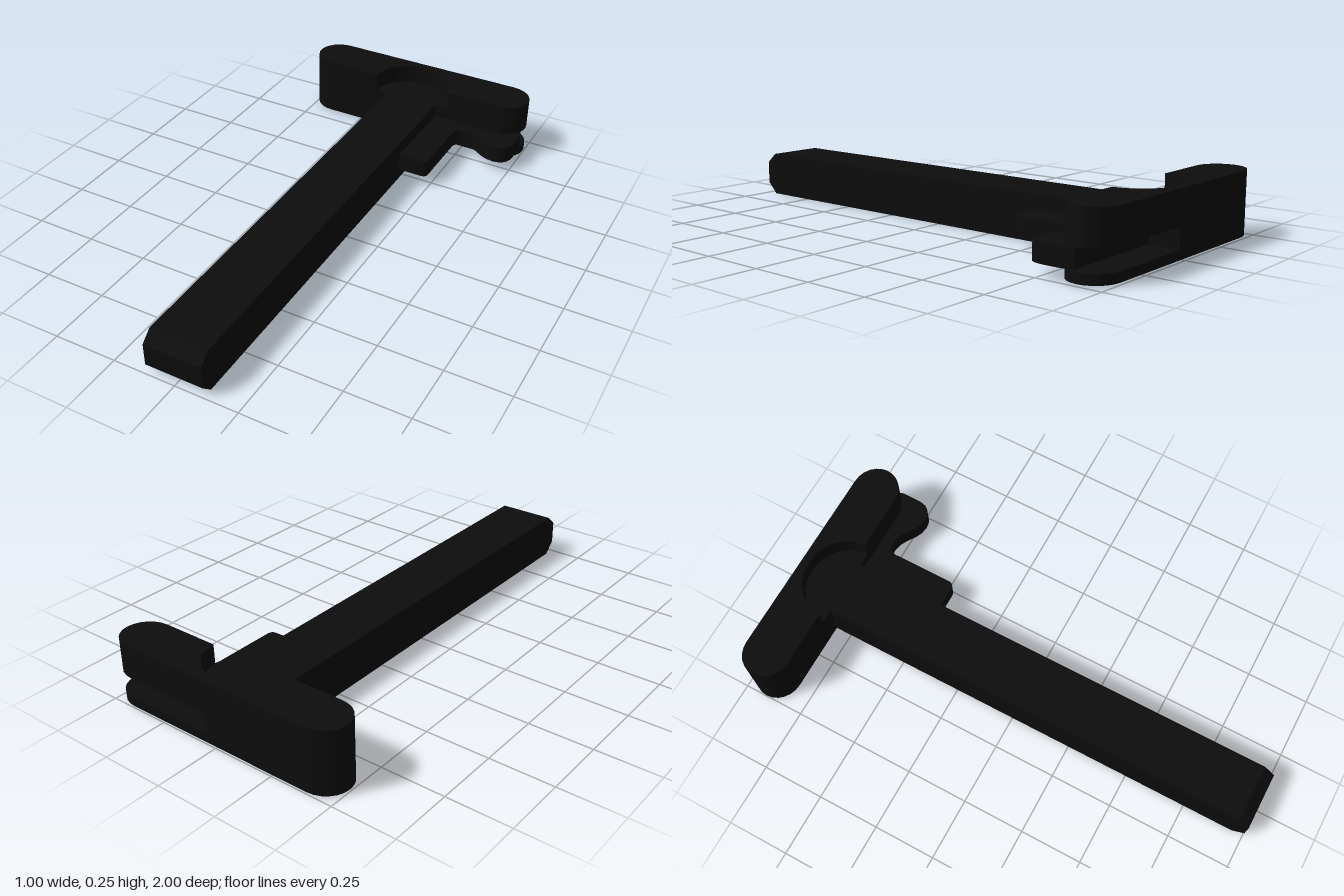
import * as THREE from 'three';

const black = new THREE.MeshStandardMaterial({ color: 0x0d0d0d });
black.name = 'matteBlack';

// Extrude a plan outline, drawn as (x, -z), from height y0 up to y1.
function slab(name, shape, y0, y1) {
  const geo = new THREE.ExtrudeGeometry(shape, { depth: y1 - y0, bevelEnabled: false, curveSegments: 6 });
  geo.rotateX(-Math.PI / 2);
  const mesh = new THREE.Mesh(geo, black);
  mesh.name = name;
  mesh.position.y = y0;
  return mesh;
}

// Crossbar outline with rounded ends; optional cut-off end and scooped front.
function barOutline({ cutX = null, scoop = false } = {}) {
  const front = 0.815, back = 1, mid = (front + back) / 2, rz = mid - front;
  const s = new THREE.Shape();
  s.moveTo(-0.4, front);
  if (scoop) {
    s.lineTo(-0.17, front);
    s.absellipse(0, front, 0.17, 0.155, Math.PI, 0, true);
  }
  if (cutX !== null) {
    s.lineTo(cutX, front);
    s.lineTo(cutX, back);
  } else {
    s.lineTo(0.4, front);
    s.absellipse(0.4, mid, 0.1, rz, -Math.PI / 2, Math.PI / 2, false);
  }
  s.lineTo(-0.4, back);
  s.absellipse(-0.4, mid, 0.1, rz, Math.PI / 2, Math.PI * 1.5, false);
  return s;
}

export function createModel() {
  const group = new THREE.Group();
  group.name = 'pullHandle';

  // Long bar with a chamfered tip, profile drawn as (-z, y)
  const profile = new THREE.Shape([
    [0.85, 0], [0.85, 0.175], [-0.955, 0.175], [-1, 0.135], [-1, 0.045], [-0.955, 0],
  ].map(([a, b]) => new THREE.Vector2(a, b)));
  const shaftGeo = new THREE.ExtrudeGeometry(profile, { depth: 0.23, bevelEnabled: false });
  shaftGeo.rotateY(Math.PI / 2).translate(-0.115, 0, 0);
  const shaft = new THREE.Mesh(shaftGeo, black);
  shaft.name = 'shaft';
  group.add(shaft);

  // Crossbar in layers: slotted on the left, scooped at the top
  const crossbar = new THREE.Group();
  crossbar.name = 'crossbar';
  crossbar.add(
    slab('crossbarBottom', barOutline(), 0.008, 0.044),
    slab('crossbarCore', barOutline({ cutX: 0.04 }), 0.044, 0.123),
    slab('crossbarUpper', barOutline(), 0.123, 0.175),
    slab('crossbarTop', barOutline({ scoop: true }), 0.175, 0.252),
  );
  group.add(crossbar);

  // Latch held in the slot: arm beside the shaft and a hooked finger tab
  const l = new THREE.Shape();
  l.moveTo(0.05, 0.89);
  l.lineTo(0.05, 0.46);
  l.lineTo(0.215, 0.46);
  l.quadraticCurveTo(0.24, 0.46, 0.24, 0.485);
  l.lineTo(0.24, 0.735);
  l.quadraticCurveTo(0.245, 0.77, 0.285, 0.77);
  l.bezierCurveTo(0.35, 0.765, 0.37, 0.71, 0.435, 0.708);
  l.quadraticCurveTo(0.5, 0.71, 0.5, 0.78);
  l.lineTo(0.5, 0.85);
  l.lineTo(0.488, 0.89);
  group.add(slab('latch', l, 0.048, 0.119));

  return group;
}
